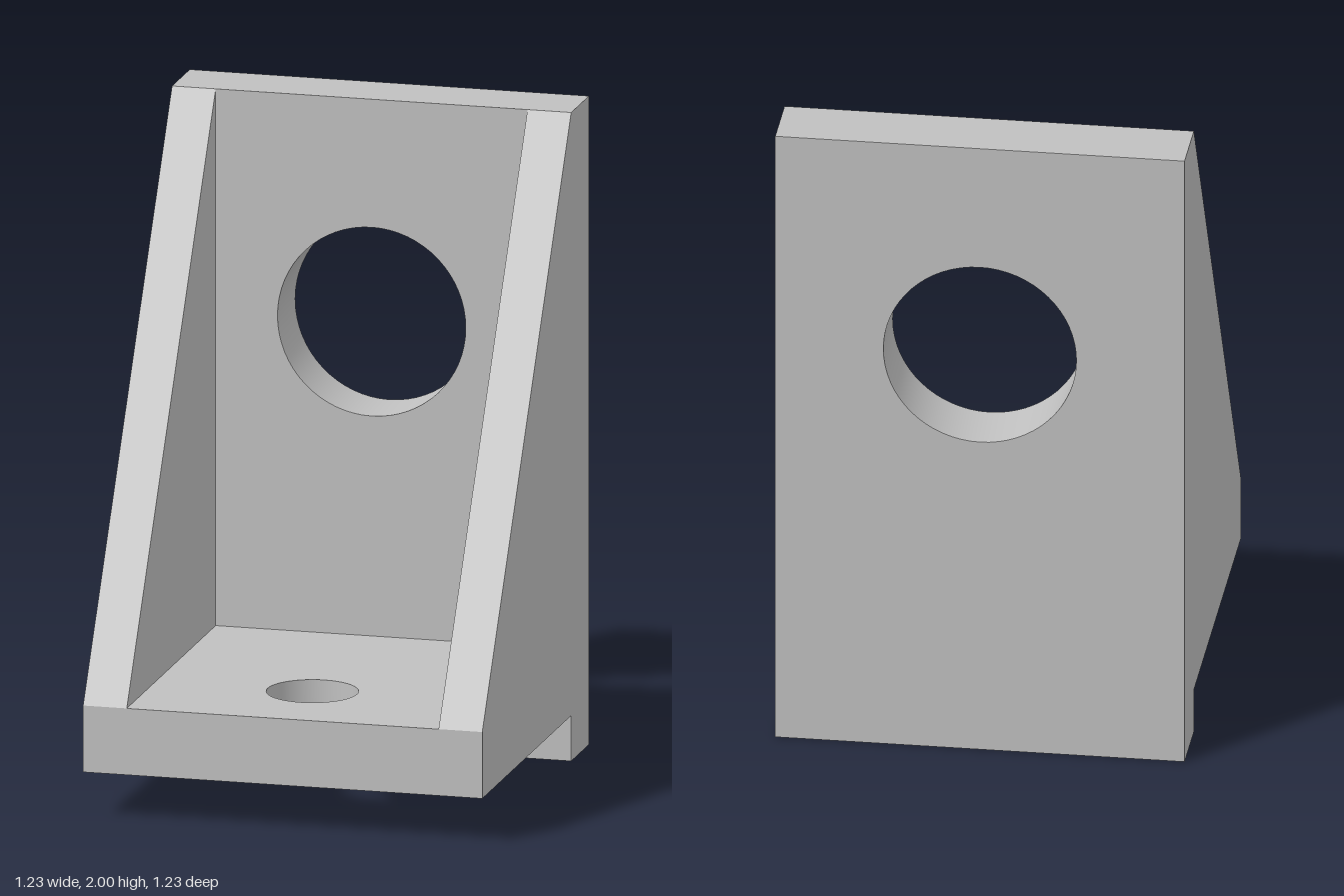
import * as THREE from 'three';
import { toCreasedNormals } from 'three/addons/utils/BufferGeometryUtils.js';

const HALF = 0.617;      // half of the width and depth
const WALL_FRONT = -0.412;
const BASE_BOTTOM = 0.14;
const BASE_TOP = 0.345;
const RIB = 0.135;       // side rib thickness

function plate(points, depth, hole) {
  const shape = new THREE.Shape(points.map(([x, y]) => new THREE.Vector2(x, y)));
  if (hole) {
    shape.holes.push(new THREE.Path().absarc(hole.x, hole.y, hole.r, 0, Math.PI * 2, true));
  }
  const geo = new THREE.ExtrudeGeometry(shape, { depth, bevelEnabled: false, curveSegments: 32 });
  return toCreasedNormals(geo, 0.5);
}

const rect = (x0, y0, x1, y1) => [[x0, y0], [x1, y0], [x1, y1], [x0, y1]];

export function createModel() {
  const group = new THREE.Group();
  group.name = 'angleBracket';
  const grey = new THREE.MeshStandardMaterial({ color: 0xc0c0c0 });
  grey.name = 'grey';

  const add = (name, geo) => {
    const mesh = new THREE.Mesh(geo, grey);
    mesh.name = name;
    group.add(mesh);
    return mesh;
  };

  // Upright back wall with the large hole; its foot drops below the base
  const wall = add('backWall', plate(rect(-HALF, 0, HALF, 2), WALL_FRONT + HALF, { x: 0, y: 1.314, r: 0.291 }));
  wall.position.z = -HALF;

  // Base plate with the small hole, drawn in plan and laid flat
  const base = add('basePlate', plate(rect(-HALF, -HALF, HALF, -WALL_FRONT), BASE_TOP - BASE_BOTTOM, { x: 0, y: -0.273, r: 0.138 }));
  base.rotation.x = -Math.PI / 2;
  base.position.y = BASE_BOTTOM;

  // Sloping triangular ribs, drawn in side profile (z, y)
  const ribGeo = plate([[WALL_FRONT, BASE_TOP], [HALF, BASE_TOP], [WALL_FRONT, 2]], RIB);
  ribGeo.rotateY(-Math.PI / 2);
  for (const [name, x] of [['leftRib', HALF], ['rightRib', RIB - HALF]]) {
    add(name, ribGeo).position.x = x;
  }

  return group;
}
